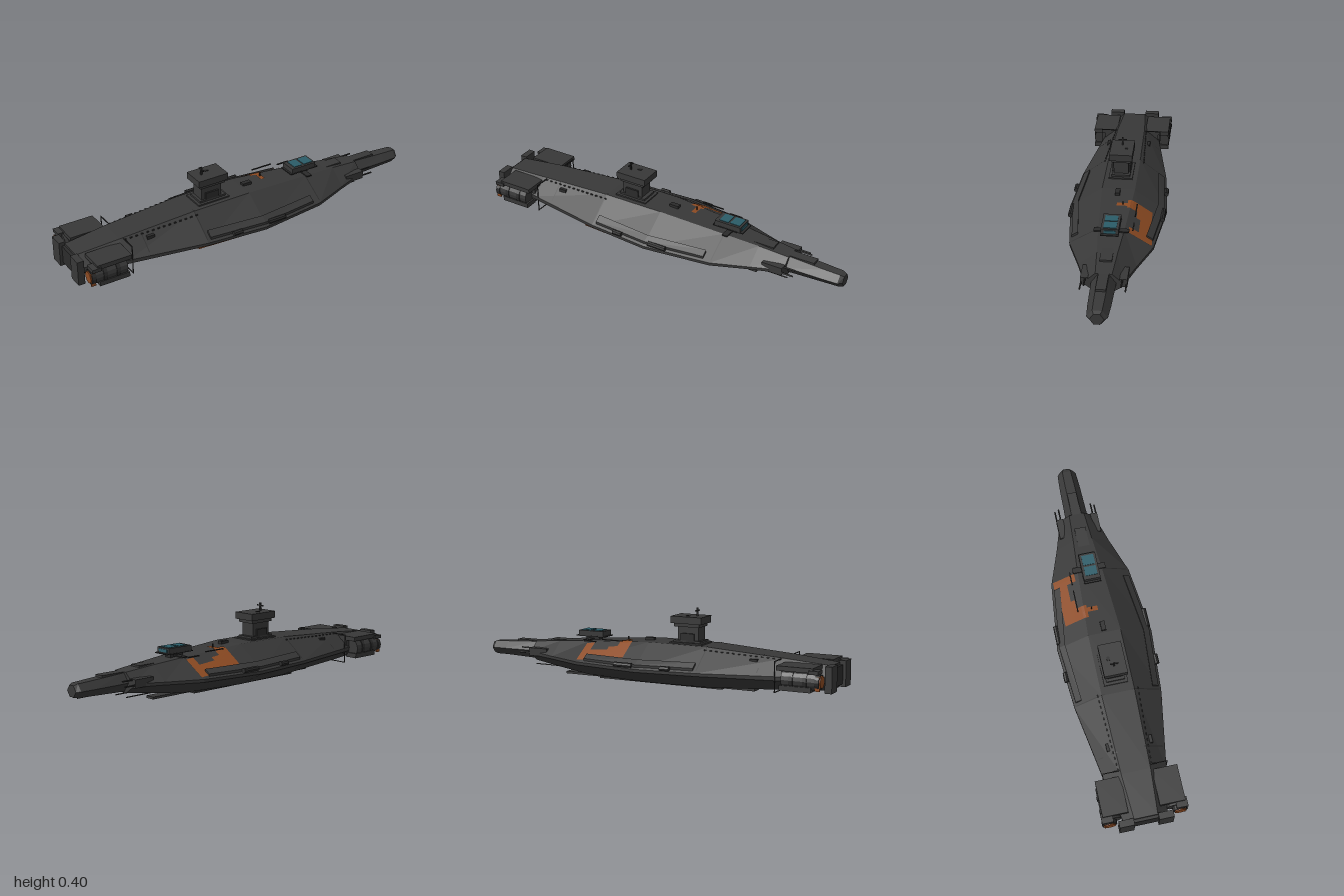
import * as THREE from 'three';

const mat = (name, color, extra = {}) => {
  const m = new THREE.MeshStandardMaterial({ color, flatShading: true, ...extra });
  m.name = name;
  return m;
};

// Hull stations: x, deck half width, deck y, chine half width, chine top y, chine low y, keel half width, keel y
const STATIONS = [
  [-0.97, 0.06, 0.172, 0.11, 0.125, 0.095, 0.05, 0.05],
  [-0.74, 0.075, 0.192, 0.16, 0.115, 0.095, 0.06, 0.034],
  [-0.33, 0.085, 0.218, 0.228, 0.108, 0.093, 0.08, 0.013],
  [0, 0.085, 0.22, 0.252, 0.105, 0.09, 0.085, 0.01],
  [0.36, 0.065, 0.198, 0.21, 0.108, 0.093, 0.08, 0.022],
  [0.55, 0.05, 0.183, 0.142, 0.112, 0.098, 0.06, 0.045],
  [0.71, 0.04, 0.168, 0.092, 0.12, 0.102, 0.04, 0.066],
];

function station(x) {
  let i = 0;
  while (i < STATIONS.length - 2 && x > STATIONS[i + 1][0]) i++;
  const a = STATIONS[i], b = STATIONS[i + 1];
  const t = THREE.MathUtils.clamp((x - a[0]) / (b[0] - a[0]), 0, 1);
  return a.map((v, k) => v + (b[k] - v) * t);
}

// Height of the upper or lower hull skin at a plan position
function skinY(x, z, under) {
  const [, wt, yt, wm, yu, yl, wb, yb] = station(x);
  const [w, flat, edge] = under ? [wb, yb, yl] : [wt, yt, yu];
  const t = THREE.MathUtils.clamp((Math.abs(z) - w) / (wm - w), 0, 1);
  return flat + (edge - flat) * t;
}

// Closed skin through rings of [x, y, z] points, ordered bow-facing counterclockwise
function loft(rings) {
  const p = [], n = rings[0].length, last = rings[rings.length - 1];
  for (let i = 0; i < rings.length - 1; i++) {
    for (let j = 0; j < n; j++) {
      const k = (j + 1) % n, a = rings[i], b = rings[i + 1];
      p.push(...a[j], ...a[k], ...b[j], ...b[j], ...a[k], ...b[k]);
    }
  }
  for (let j = 1; j < n - 1; j++) {
    p.push(...last[0], ...last[j], ...last[j + 1]);
    p.push(...rings[0][0], ...rings[0][j + 1], ...rings[0][j]);
  }
  const g = new THREE.BufferGeometry();
  g.setAttribute('position', new THREE.Float32BufferAttribute(p, 3));
  g.computeVertexNormals();
  return g;
}

export function createModel() {
  const root = new THREE.Group();
  root.name = 'spaceship';
  const hullGrey = mat('hullGrey', 0x383838);
  const trimGrey = mat('trimGrey', 0x2b2b2b, { side: THREE.DoubleSide });
  const orange = mat('orange', 0x8c4a22, { side: THREE.DoubleSide });
  const glass = mat('tealGlass', 0x2b5c68);

  const add = (name, geo, material) => {
    const m = new THREE.Mesh(geo, material);
    m.name = name;
    root.add(m);
    return m;
  };
  // Box given by its limits
  const box = (name, x0, x1, y0, y1, z0, z1, material = hullGrey) => {
    const m = add(name, new THREE.BoxGeometry(x1 - x0, y1 - y0, z1 - z0), material);
    m.position.set((x0 + x1) / 2, (y0 + y1) / 2, (z0 + z1) / 2);
    return m;
  };
  const pairBox = (name, x0, x1, y0, y1, z0, z1, material) => {
    box(name, x0, x1, y0, y1, z0, z1, material);
    box(name, x0, x1, y0, y1, -z1, -z0, material);
  };
  // Cylinder along x
  const tube = (name, x0, x1, y, z, r, material, sides = 12) => {
    const m = add(name, new THREE.CylinderGeometry(r, r, x1 - x0, sides), material);
    m.rotation.z = -Math.PI / 2;
    m.position.set((x0 + x1) / 2, y, z);
  };
  // Sheet laid on the hull skin
  const drape = (name, x0, x1, z0, z1, material, under = false, lift = 0.004) => {
    const nx = Math.ceil((x1 - x0) / 0.04), nz = Math.ceil((z1 - z0) / 0.015);
    const g = new THREE.PlaneGeometry(x1 - x0, z1 - z0, nx, nz).rotateX(-Math.PI / 2);
    g.translate((x0 + x1) / 2, 0, (z0 + z1) / 2);
    const p = g.attributes.position;
    for (let i = 0; i < p.count; i++) {
      p.setY(i, skinY(p.getX(i), p.getZ(i), under) + (under ? -lift : lift));
    }
    g.computeVertexNormals();
    add(name, g, material);
  };

  // Main hull with a sharp chine
  add('hull', loft(STATIONS.map(([x, wt, yt, wm, yu, yl, wb, yb]) => [
    [x, yl, -wm], [x, yu, -wm], [x, yt, -wt], [x, yt, wt],
    [x, yu, wm], [x, yl, wm], [x, yb, wb], [x, yb, -wb],
  ])), hullGrey);

  // Faceted bow and its tip
  const bow = [[0.62, 0.065, 0.118, 0.05], [0.72, 0.06, 0.118, 0.045],
    [0.9, 0.055, 0.116, 0.037], [0.98, 0.05, 0.115, 0.034], [1, 0.034, 0.114, 0.028]];
  add('bow', loft(bow.map(([x, w, y, h]) => [
    [x, y, -w], [x, y + h, -w * 0.45], [x, y + h, w * 0.45],
    [x, y, w], [x, y - h, w * 0.45], [x, y - h, -w * 0.45],
  ])), hullGrey);
  box('bowSpine', 0.52, 0.84, 0.15, 0.168, -0.025, 0.025);

  // Forward cheeks and gun barrels
  pairBox('bowCheek', 0.6, 0.71, 0.1, 0.142, 0.075, 0.112);
  for (const s of [-1, 1]) {
    tube('gunBarrel', 0.64, 0.77, 0.115, s * 0.108, 0.004, trimGrey, 6);
    tube('gunBarrel', 0.68, 0.77, 0.138, s * 0.088, 0.004, trimGrey, 6);
    tube('lowerAerial', 0.5, 0.71, 0.045, s * 0.04, 0.003, trimGrey, 6);
    tube('bowAerial', 0.84, 0.98, 0.08, s * 0.015, 0.003, trimGrey, 6);
  }

  // Keel plate and raised deck strips
  box('keelPlate', -0.56, 0.53, 0.004, 0.016, -0.026, 0.026);
  box('keelStep', -0.4, 0.3, 0.006, 0.014, -0.07, 0.07);
  box('foredeckRidge', 0.36, 0.62, 0.16, 0.186, -0.03, 0.03);

  // Raised armour strips following the chine, with slim pods
  for (const s of [-1, 1]) {
    const rings = [-0.31, 0, 0.32].map((x) => {
      const w = station(x)[3], a = w - 0.012, b = w - 0.044;
      const ya = skinY(x, a), yb = skinY(x, b);
      const r = [[x, ya - 0.01, s * a], [x, ya + 0.013, s * a], [x, yb + 0.013, s * b], [x, yb - 0.01, s * b]];
      return s < 0 ? r : r.reverse();
    });
    add('armourStrip', loft(rings), hullGrey);
    tube('sidePod', -0.19, -0.14, 0.12, s * 0.238, 0.013, trimGrey, 8);
    tube('sidePod', 0.02, 0.12, 0.12, s * 0.236, 0.013, trimGrey, 8);
  }

  // Seams and small rivets on the upper skin
  for (const s of [-1, 1]) {
    for (const x of [-0.63, -0.33, 0.36]) {
      const z = [0.07, station(x)[3] - 0.012];
      drape('seam', x, x + 0.005, s < 0 ? -z[1] : z[0], s < 0 ? -z[0] : z[1], trimGrey, false, 0.002);
    }
    for (let i = 0; i < 14; i++) {
      const x = -0.72 + i * 0.03;
      const z = s * (0.085 + i * 0.0015);
      box('rivet', x, x + 0.012, skinY(x, z) - 0.003, skinY(x, z) + 0.004, z - 0.002, z + 0.002, trimGrey);
    }
    box('skinVent', -0.61, -0.57, 0.165, 0.182, s * 0.11 - 0.008, s * 0.11 + 0.008, trimGrey);
  }

  // Worn orange paint on the right shoulder and left underside
  drape('orangePaint', 0.1, 0.17, -0.185, -0.06, orange);
  drape('orangePaint', 0.17, 0.32, -0.185, -0.132, orange);
  drape('orangePaint', 0.17, 0.22, -0.132, -0.112, orange);
  drape('orangePaint', 0.32, 0.365, -0.2, -0.085, orange);
  drape('orangePaint', 0.13, 0.155, -0.06, -0.005, orange);
  drape('orangeUnderPaint', -0.38, -0.13, 0.195, 0.224, orange, true);

  // Command tower
  box('towerBase', -0.285, -0.105, 0.21, 0.226, -0.062, 0.062);
  box('towerFoot', -0.27, -0.12, 0.226, 0.236, -0.048, 0.048);
  box('towerNeck', -0.255, -0.14, 0.226, 0.31, -0.039, 0.039);
  pairBox('towerFlank', -0.235, -0.16, 0.226, 0.272, 0.039, 0.048, trimGrey);
  box('towerCollar', -0.265, -0.125, 0.305, 0.322, -0.05, 0.05);
  box('towerHead', -0.28, -0.11, 0.322, 0.358, -0.06, 0.06);
  box('mast', -0.235, -0.227, 0.355, 0.4, -0.004, 0.004, trimGrey);
  box('mastCrossbar', -0.234, -0.228, 0.383, 0.389, -0.022, 0.022, trimGrey);
  box('towerSensor', -0.2, -0.18, 0.357, 0.361, -0.03, -0.015, trimGrey);

  // Cockpit raised on a short stem
  box('cockpitStem', 0.33, 0.41, 0.185, 0.22, -0.02, 0.02, trimGrey);
  box('cockpitFloor', 0.285, 0.455, 0.216, 0.221, -0.045, 0.045, trimGrey);
  box('cockpitBody', 0.295, 0.44, 0.22, 0.247, -0.044, 0.044);
  for (const [x0, x1] of [[0.315, 0.365], [0.375, 0.43]]) {
    box('roofWindow', x0, x1, 0.245, 0.25, -0.032, 0.032, glass);
  }
  box('frontWindow', 0.438, 0.444, 0.225, 0.24, -0.03, 0.03, glass);

  // Deck fittings and aerials
  box('deckHatch', 0.01, 0.06, 0.215, 0.232, -0.012, 0.012, trimGrey);
  box('deckAerial', 0.142, 0.147, 0.205, 0.235, -0.04, -0.035, trimGrey);
  box('deckBar', 0.14, 0.26, 0.215, 0.22, -0.112, -0.106, trimGrey);
  box('deckBar', 0.3, 0.37, 0.2, 0.206, -0.11, -0.104, trimGrey);
  box('deckBar', 0.36, 0.39, 0.2, 0.206, -0.09, 0.085, trimGrey);

  // Engines: armoured top, round body, orange exhaust, stern plates
  for (const s of [-1, 1]) {
    tube('engineBody', -0.94, -0.77, 0.112, s * 0.165, 0.048, hullGrey, 16);
    tube('engineBand', -0.9, -0.88, 0.112, s * 0.165, 0.052, trimGrey, 16);
    tube('engineBand', -0.83, -0.81, 0.112, s * 0.165, 0.052, trimGrey, 16);
    tube('exhaustRing', -0.962, -0.94, 0.112, s * 0.18, 0.038, trimGrey, 16);
    tube('exhaustGlow', -0.968, -0.962, 0.112, s * 0.18, 0.03, orange, 16);
  }
  pairBox('engineRoof', -0.93, -0.745, 0.155, 0.178, 0.08, 0.21);
  pairBox('engineRoofLip', -0.96, -0.91, 0.15, 0.168, 0.16, 0.218);
  pairBox('enginePylon', -0.92, -0.75, 0.075, 0.155, 0.07, 0.15);
  pairBox('engineSidePlate', -0.92, -0.76, 0.06, 0.085, 0.14, 0.21);
  pairBox('engineOrangeStripe', -0.965, -0.94, 0.07, 0.14, 0.2, 0.206, orange);
  pairBox('sternPlate', -1, -0.965, 0.05, 0.18, 0.062, 0.138);
  box('sternBlock', -0.985, -0.95, 0.065, 0.16, -0.065, 0.065, trimGrey);

  // Thin guard frames ahead of the engines
  pairBox('guardTop', -0.722, -0.718, 0.187, 0.191, 0.07, 0.166, trimGrey);
  pairBox('guardSide', -0.722, -0.718, 0.035, 0.191, 0.162, 0.166, trimGrey);
  pairBox('guardBottom', -0.722, -0.718, 0.035, 0.039, 0.05, 0.166, trimGrey);

  return root;
}
